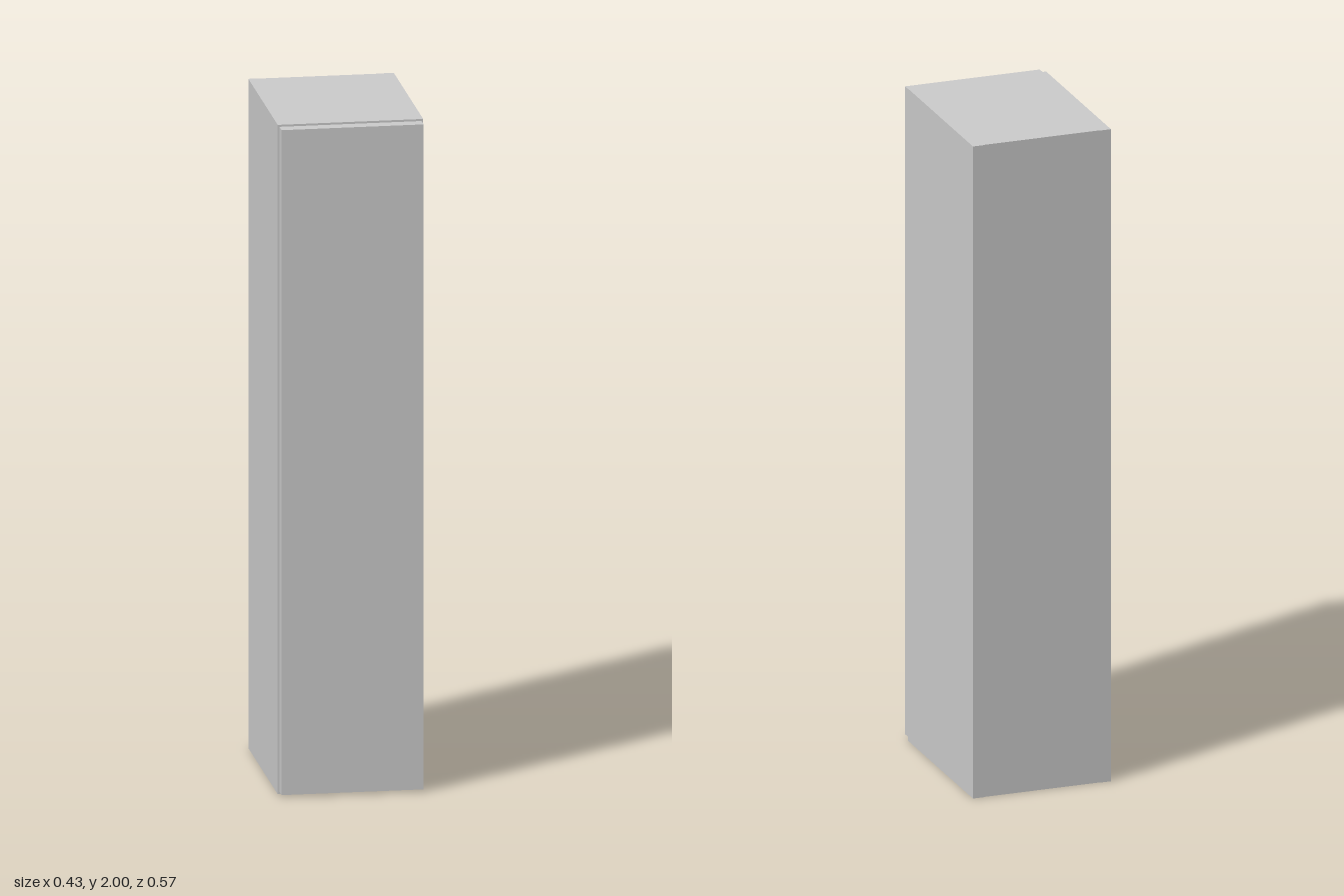
import * as THREE from 'three';

const H = 2, HALF_W = 0.213, T = 0.032; // height, half width, panel thickness
const BACK = -0.286, FRONT = 0.247, DOOR_FRONT = 0.286;

export function createModel() {
  const group = new THREE.Group();
  group.name = 'tallCabinet';
  const material = new THREE.MeshStandardMaterial({ color: 0xcccccc });

  // box given by its lower and upper corners
  function panel(name, [x0, y0, z0], [x1, y1, z1]) {
    const mesh = new THREE.Mesh(new THREE.BoxGeometry(x1 - x0, y1 - y0, z1 - z0), material);
    mesh.position.set((x0 + x1) / 2, (y0 + y1) / 2, (z0 + z1) / 2);
    mesh.name = name;
    group.add(mesh);
  }

  const inner = HALF_W - T;
  const inset = BACK + 0.002; // the back sits a hair inside the sides

  // full-height sides
  panel('leftSide', [inner, 0, BACK], [HALF_W, H, FRONT]);
  panel('rightSide', [-HALF_W, 0, BACK], [-inner, H, FRONT]);

  // top and bottom between the sides
  panel('topPanel', [-inner, H - T, inset], [inner, H, FRONT]);
  panel('bottomPanel', [-inner, 0, inset], [inner, T, FRONT]);

  // back between top and bottom
  panel('backPanel', [-inner, T, inset], [inner, H - T, inset + 0.02]);

  // door, slightly smaller than the carcass all round
  panel('door', [-0.208, 0.007, FRONT], [0.208, H - 0.006, DOOR_FRONT]);

  return group;
}
